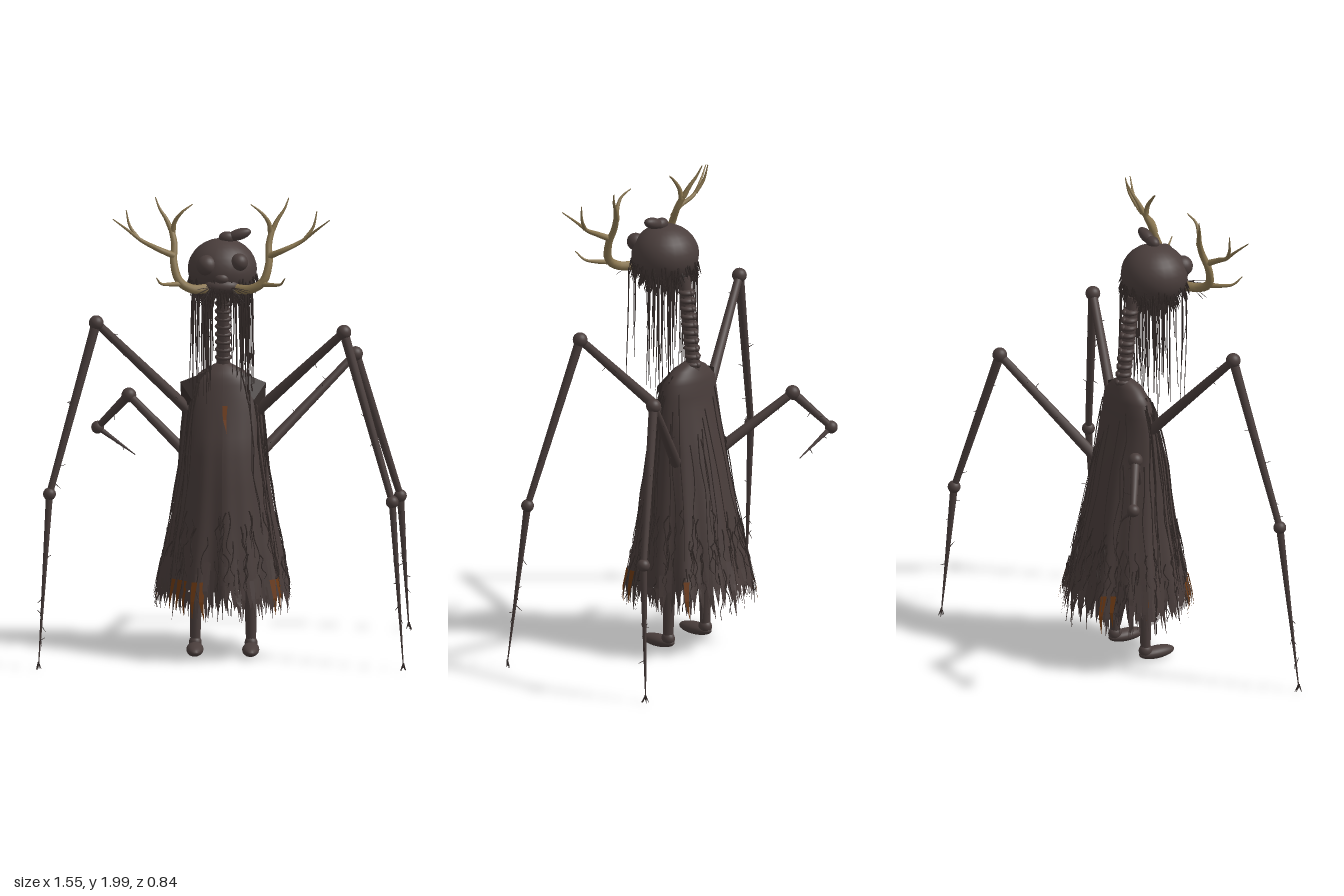
import * as THREE from 'three';
import { mergeGeometries } from 'three/addons/utils/BufferGeometryUtils.js';

const V = (x, y, z) => new THREE.Vector3(x, y, z);
const mat = (name, color, side = THREE.FrontSide) => {
  const m = new THREE.MeshStandardMaterial({ color, side });
  m.name = name;
  return m;
};

export function createModel() {
  const model = new THREE.Group();
  const hide = mat('dark umber hide', 0x4a3e3c);
  const cloth = mat('dark umber cloth', 0x483c3a, THREE.DoubleSide);
  const strandMat = mat('blackened strand', 0x352c2a, THREE.DoubleSide);
  const horn = mat('antler bone', 0x8a7650);
  const rust = mat('rust stain', 0x6b3812, THREE.DoubleSide);

  let seed = 7;
  const rnd = (a = 0, b = 1) => {
    seed = (seed * 16807) % 2147483647;
    return a + (b - a) * seed / 2147483647;
  };
  const add = (name, geo, m, parent = model) => {
    const mesh = new THREE.Mesh(Array.isArray(geo) ? mergeGeometries(geo) : geo, m);
    mesh.name = name;
    parent.add(mesh);
    return mesh;
  };
  // straight tapered rod from a to b
  const rod = (a, b, r0, r1, sides = 4) => {
    const d = b.clone().sub(a);
    const g = new THREE.CylinderGeometry(r1, r0, d.length(), sides);
    g.applyQuaternion(new THREE.Quaternion().setFromUnitVectors(V(0, 1, 0), d.normalize()));
    return g.translate((a.x + b.x) / 2, (a.y + b.y) / 2, (a.z + b.z) / 2);
  };
  // tube along a smooth path, narrowing from r0 to r1
  const taper = (pts, r0, r1, n = 12, sides = 8) => {
    const path = new THREE.CatmullRomCurve3(pts);
    const g = new THREE.TubeGeometry(path, n, r0, sides);
    const p = g.attributes.position, v = V(0, 0, 0);
    for (let i = 0; i < p.count; i++) {
      const t = Math.floor(i / (sides + 1)) / n, c = path.getPointAt(t);
      v.fromBufferAttribute(p, i).sub(c).multiplyScalar(1 + (r1 / r0 - 1) * t).add(c);
      p.setXYZ(i, v.x, v.y, v.z);
    }
    return g;
  };
  const ball = (x, y, z, rx, ry = rx, rz = rx) =>
    new THREE.SphereGeometry(1, 24, 16).scale(rx, ry, rz).translate(x, y, z);

  // Robe sections: height, centre z, half width, half depth
  const rings = [[1.245, 0.02, 0.003, 0.003], [1.235, 0.02, 0.04, 0.03], [1.21, 0.028, 0.09, 0.05],
    [1.16, 0.03, 0.14, 0.07], [1.05, 0.04, 0.162, 0.095], [0.87, 0.045, 0.177, 0.145],
    [0.6, 0.035, 0.215, 0.19], [0.4, 0.03, 0.255, 0.225], [0.27, 0.025, 0.275, 0.248], [0.1, 0.025, 0.28, 0.25]];
  const onRobe = (a, y, out = 0) => {
    let i = 0;
    while (i < rings.length - 2 && rings[i + 1][0] > y) i++;
    const A = rings[i], B = rings[i + 1], t = (A[0] - y) / (A[0] - B[0]);
    const [, cz, rx, rz] = A.map((q, k) => q + (B[k] - q) * t);
    const fold = 1 + 0.035 * Math.min(1, Math.max(0, 1.1 - y)) * (Math.sin(9 * a) + Math.sin(14 * a + 1));
    return V((rx * fold + out) * Math.sin(a), y, cz + (rz * fold + out) * Math.cos(a));
  };

  // Robe shell with a jagged hem
  const N = 96, pos = [], idx = [];
  const levels = [1.245, 1.235, 1.21, 1.185, 1.16, 1.1, 1.05, 0.95, 0.87, 0.74, 0.6, 0.5, 0.4, 0.33, 0.27];
  levels.forEach((y, r) => {
    for (let i = 0; i <= N; i++) {
      const last = r === levels.length - 1;
      const p = onRobe((i % N) / N * Math.PI * 2, last ? (i % 2 ? 0.23 : 0.32) : y);
      pos.push(p.x, p.y, p.z);
      if (r && i) {
        const d = r * (N + 1) + i, u = d - N - 1;
        idx.push(u - 1, d - 1, u, d - 1, d, u);
      }
    }
  });
  const robe = new THREE.BufferGeometry();
  robe.setAttribute('position', new THREE.Float32BufferAttribute(pos, 3));
  robe.setIndex(idx);
  robe.computeVertexNormals();
  add('robe', robe, cloth);

  // Flat ragged strips hanging from the robe
  const tatter = (a, top, bottom, w, out) => {
    const l = onRobe(a - w, top, out - 0.004), r = onRobe(a + w, top, out - 0.004);
    const l2 = onRobe(a - w * 0.7, (top + bottom) / 2, out), r2 = onRobe(a + w * 0.5, (top + bottom) / 2, out);
    const tip = onRobe(a + rnd(-w, w), bottom, out + rnd(-0.01, 0.012));
    const g = new THREE.BufferGeometry().setFromPoints([l, l2, r, r, l2, r2, l2, tip, r2]);
    g.computeVertexNormals();
    return g;
  };
  const hem = [], stains = [];
  for (let i = 0; i < 190; i++) {
    const top = rnd(0.3, 0.45);
    hem.push(tatter(rnd(0, 6.283), top, rnd(0.17, 0.27), rnd(0.02, 0.055), rnd(-0.008, 0.014)));
  }
  for (const a of [-0.85, -0.72, -0.6, -0.42, -0.3, 0.85, 0.95, 1.08, 2.3, 3.7, 3.85, 4.4])
    stains.push(tatter(a, 0.35, rnd(0.18, 0.23), 0.045, 0.013));
  stains.push(tatter(0.06, 1.08, 0.97, 0.07, 0.006));
  add('raggedHem', hem, cloth);
  add('rustStains', stains, rust);

  // Cords and roots running down the robe
  const cords = [];
  const cord = (a, top, bottom, r) => {
    const pts = [];
    for (let k = 0; k <= 5; k++) pts.push(onRobe(a + rnd(-0.05, 0.05), top + (bottom - top) * k / 5, rnd(0.001, 0.009)));
    cords.push(taper(pts, r, r * 0.4, 10, 3));
  };
  for (let i = 0; i < 26; i++) cord((i % 2 ? 1 : -1) * rnd(0.75, 1.7), rnd(1.1, 1.2), rnd(0.25, 0.6), 0.004);
  for (let i = 0; i < 14; i++) cord(rnd(1.7, 4.6), rnd(0.8, 1.15), rnd(0.3, 0.6), 0.003);
  for (let i = 0; i < 130; i++) {
    const y = rnd(0.35, 0.65);
    cord(rnd(0, 6.283), y, y - rnd(0.1, 0.2), 0.0035);
  }
  add('robeCords', cords, strandMat);

  // Shoulder flaps
  for (const s of [-1, 1]) {
    const g = new THREE.BufferGeometry().setFromPoints([
      V(s * 0.05, 1.22, 0.06), V(s * 0.18, 1.165, 0.05), V(s * 0.13, 1.1, 0.1),
      V(s * 0.13, 1.1, 0.1), V(s * 0.18, 1.165, 0.05), V(s * 0.172, 1.03, 0.06)]);
    g.computeVertexNormals();
    add(s > 0 ? 'leftShoulderFlap' : 'rightShoulderFlap', g, strandMat);
  }

  // Spine-like neck
  const neck = [rod(V(0, 1.2, 0.005), V(0, 1.6, 0.06), 0.03, 0.026, 10)];
  for (let i = 0; i < 10; i++) {
    const y = 1.23 + i * 0.034, z = 0.008 + i * 0.004;
    neck.push(ball(0, y, z, 0.036, 0.016, 0.034), ball(0, y, z - 0.026, 0.013));
  }
  add('neckSpine', neck, hide);

  // Head, eyes, muzzle and crown growth
  const H = V(0, 1.68, 0.165);
  add('head', ball(0, H.y, H.z, 0.145, 0.128, 0.14), hide);
  add('rightEye', ball(-0.062, 1.715, 0.265, 0.044), hide);
  add('leftEye', ball(0.074, 1.73, 0.265, 0.037), hide);
  add('muzzle', [ball(0, 1.63, 0.27, 0.075, 0.035, 0.045), ball(0, 1.665, 0.295, 0.03, 0.022, 0.02)], hide);
  add('crownGrowth', [ball(0.02, 1.815, 0.17, 0.035, 0.025, 0.025),
    ball(0, 0, 0, 0.052, 0.024, 0.025).rotateZ(0.3).translate(0.07, 1.828, 0.17)], hide);

  // Shaggy beard around the lower head, whiskers and long hanging hair
  const beard = [], hair = [];
  for (let i = 0; i < 260; i++) {
    const a = rnd(0, 6.283), e = rnd(-1.15, -0.15), c = Math.cos(e);
    const p = V(0.143 * c * Math.sin(a), H.y + 0.126 * Math.sin(e), H.z + 0.138 * c * Math.cos(a));
    const q = p.clone().add(V(Math.sin(a) * 0.016, -rnd(0.025, 0.06), Math.cos(a) * 0.016));
    beard.push(rod(p, q, 0.006, 0.0008, 3));
  }
  for (let i = 0; i < 14; i++) {
    const s = i % 2 ? 1 : -1;
    beard.push(rod(V(s * 0.04, 1.63, 0.3), V(s * rnd(0.06, 0.13), rnd(1.56, 1.64), rnd(0.32, 0.39)), 0.002, 0.001, 3));
  }
  for (let i = 0; i < 64; i++) {
    const s = i % 2 ? 1 : -1, x = s * rnd(0.035, 0.132);
    const z = i < 54 ? rnd(0.05, 0.18) : rnd(0.2, 0.3), low = rnd(1.1, 1.38);
    hair.push(taper([V(x * 0.95, 1.62, z), V(x, 1.45, z + rnd(-0.006, 0.006)), V(x + rnd(-0.01, 0.01), low, z + rnd(-0.01, 0.01))],
      rnd(0.0025, 0.0045), 0.0012, 6, 4));
  }
  add('beard', beard, strandMat);
  add('hangingHair', hair, strandMat);

  // Antlers: points, start radius, end radius
  const tines = [
    [[[0.06, 1.62, 0.28], [0.12, 1.625, 0.315], [0.175, 1.66, 0.325], [0.2, 1.74, 0.305], [0.198, 1.81, 0.275], [0.212, 1.87, 0.25]], 0.021, 0.012],
    [[[0.212, 1.865, 0.25], [0.235, 1.91, 0.235], [0.262, 1.95, 0.22], [0.28, 1.995, 0.205]], 0.012, 0.002],
    [[[0.205, 1.855, 0.255], [0.197, 1.9, 0.26], [0.165, 1.945, 0.265], [0.122, 1.975, 0.25]], 0.012, 0.002],
    [[[0.2, 1.765, 0.3], [0.26, 1.795, 0.32], [0.335, 1.83, 0.305], [0.39, 1.875, 0.315], [0.455, 1.93, 0.34]], 0.014, 0.002],
    [[[0.35, 1.84, 0.305], [0.385, 1.89, 0.29], [0.4, 1.955, 0.28]], 0.009, 0.002],
    [[[0.165, 1.65, 0.325], [0.215, 1.655, 0.36], [0.25, 1.665, 0.395], [0.27, 1.7, 0.43]], 0.012, 0.002]];
  for (const s of [-1, 1])
    add(s > 0 ? 'leftAntler' : 'rightAntler',
      tines.map(([p, a, b]) => taper(p.map(([x, y, z]) => V(s * x, y, z)), a, b, 16, 10)), horn);

  // Jointed spider limbs with thorns
  const limb = (name, pts, stump) => {
    const [a, b, c, d] = pts.map(p => V(...p));
    const g = new THREE.Group();
    g.name = name;
    add('upperSegment', rod(a, b, 0.024, 0.017, 10), hide, g);
    add('knee', ball(b.x, b.y, b.z, 0.031), hide, g);
    add('middleSegment', rod(b, c, 0.02, 0.014, 10), hide, g);
    add('ankle', ball(c.x, c.y, c.z, 0.027), hide, g);
    add('clawSegment', rod(c, d, stump ? 0.012 : 0.016, 0.002, 8), hide, g);
    const thorns = [];
    for (const [p, q] of [[a, b], [b, c], [c, d]])
      for (let i = 0; i < (stump ? 3 : 9); i++) {
        const o = p.clone().lerp(q, rnd(0.1, 0.97));
        const dir = V(rnd(-1, 1), rnd(-1, 0.6), rnd(-1, 1)).normalize();
        thorns.push(rod(o, o.clone().addScaledVector(dir, rnd(0.02, 0.045)), 0.003, 0.0008, 3));
      }
    if (!stump) for (let i = 0; i < 5; i++)
      thorns.push(rod(d.clone().add(V(0, 0.02, 0)), d.clone().add(V(rnd(-0.015, 0.015), -0.012, rnd(-0.02, 0.02))), 0.004, 0.001, 3));
    add('thorns', thorns, strandMat, g);
    model.add(g);
  };
  limb('frontRightLimb', [[-0.1, 1.0, 0.04], [-0.527, 1.455, 0.216], [-0.72, 0.742, 0.323], [-0.764, 0.015, 0.39]]);
  limb('frontLeftLimb', [[0.1, 1.0, 0.04], [0.51, 1.415, 0.19], [0.716, 0.712, 0.302], [0.765, 0.015, 0.372]]);
  limb('backLeftLimb', [[0.12, 0.81, -0.01], [0.546, 1.222, -0.252], [0.731, 0.588, -0.36], [0.765, 0.015, -0.402]]);
  limb('backRightLimb', [[-0.12, 0.81, 0], [-0.402, 1.052, -0.192], [-0.536, 0.89, -0.29], [-0.378, 0.782, -0.253]], true);

  // Legs and feet under the robe
  for (const s of [-1, 1]) {
    const x = s * 0.117, name = s > 0 ? 'left' : 'right';
    add(name + 'Leg', rod(V(x * 0.95, 0.55, 0.04), V(x, 0.04, 0.045), 0.035, 0.021, 12), hide);
    add(name + 'Foot', [ball(x, 0.028, 0.1, 0.036, 0.026, 0.085), ball(x, 0.045, 0.045, 0.027, 0.03, 0.03)], hide);
  }
  return model;
}
